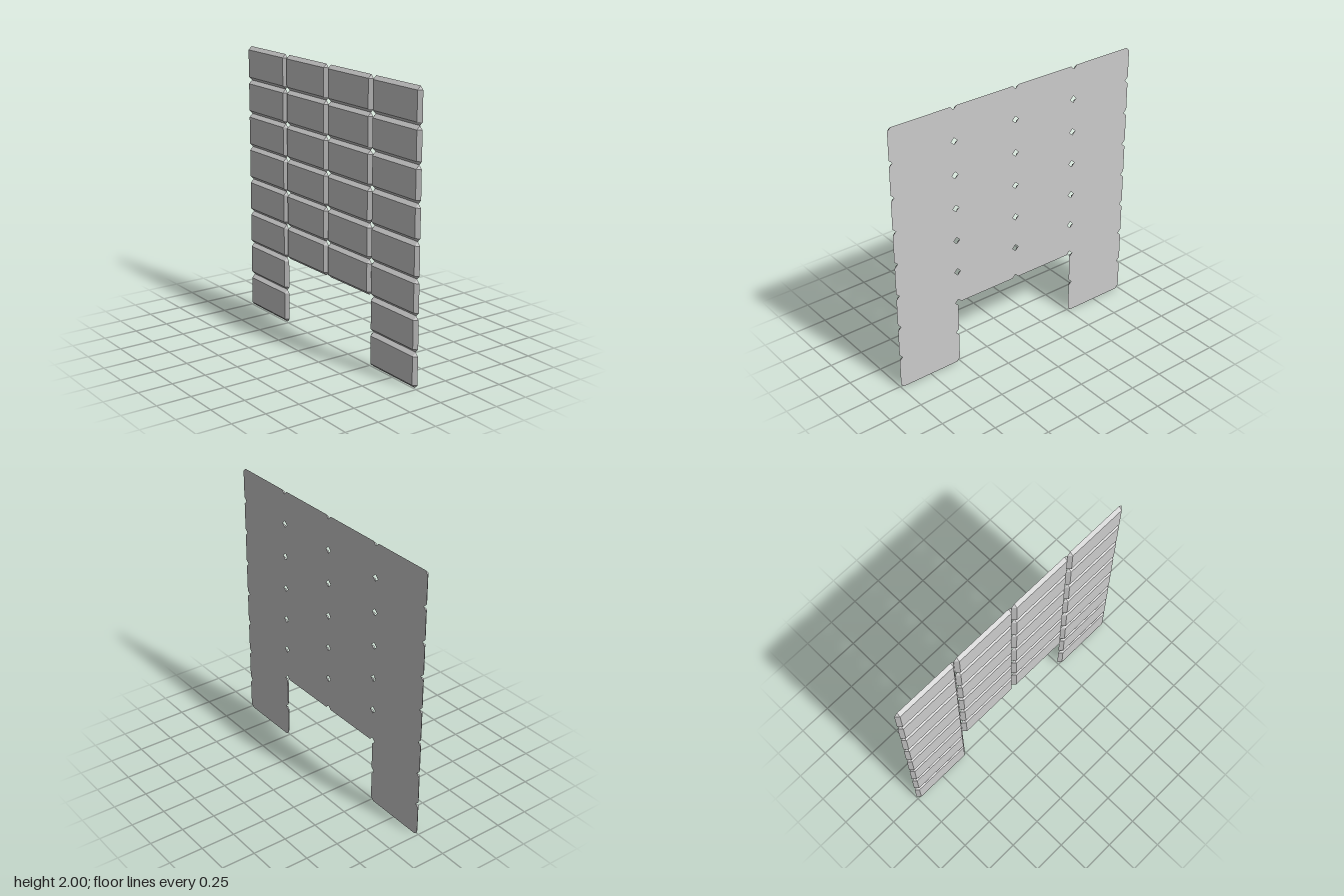
import * as THREE from 'three';
import { ConvexGeometry } from 'three/addons/geometries/ConvexGeometry.js';

const W = 0.5, H = 0.25, D = 0.025, BEVEL = 0.025;
const COLUMNS = 4, ROWS = 8, OPENING_ROWS = 2;

// Brick with a flat back, bevelled front edges and clipped corners
function brickGeometry() {
  const points = [];
  for (const sx of [-1, 1]) {
    for (const sy of [-1, 1]) {
      const x = sx * W / 2, y = sy * H / 2;
      const xi = x - sx * BEVEL, yi = y - sy * BEVEL;
      points.push(
        new THREE.Vector3(xi, yi, D / 2),  // front face corner
        new THREE.Vector3(x, yi, -D / 2),  // back side edge
        new THREE.Vector3(xi, y, -D / 2)   // back top or bottom edge
      );
    }
  }
  return new ConvexGeometry(points);
}

export function createModel() {
  const wall = new THREE.Group();
  wall.name = 'brickWall';
  const geometry = brickGeometry();
  const material = new THREE.MeshStandardMaterial({ color: 0xcccccc, flatShading: true });

  for (let row = 0; row < ROWS; row++) {
    for (let col = 0; col < COLUMNS; col++) {
      // Doorway: the middle columns are left out of the lowest rows
      const middle = col > 0 && col < COLUMNS - 1;
      if (middle && row < OPENING_ROWS) continue;
      const brick = new THREE.Mesh(geometry, material);
      brick.name = `brickRow${row + 1}Column${col + 1}`;
      brick.position.set((col - (COLUMNS - 1) / 2) * W, (row + 0.5) * H, 0);
      wall.add(brick);
    }
  }
  return wall;
}
